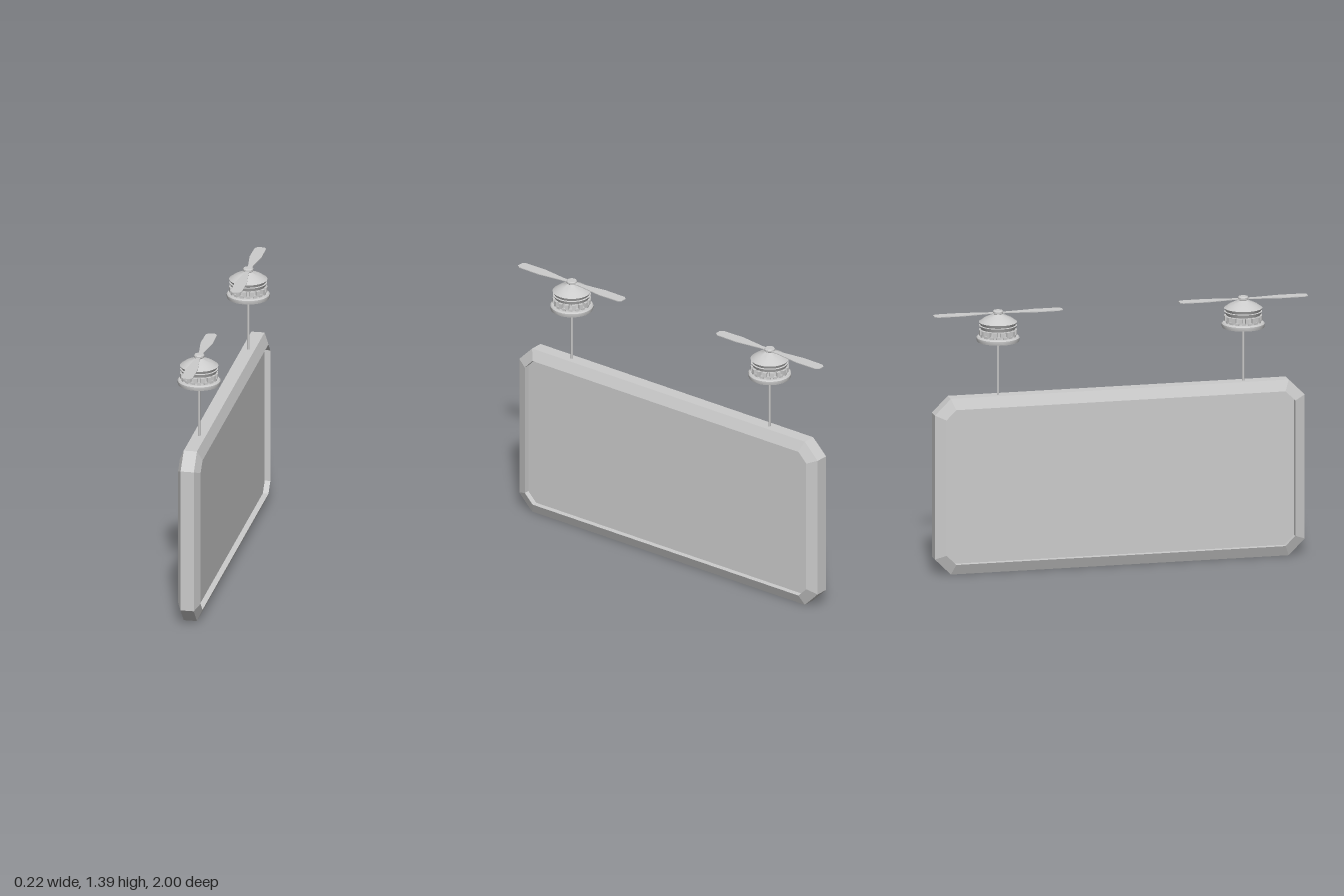
import * as THREE from 'three';
import { toCreasedNormals } from 'three/addons/utils/BufferGeometryUtils.js';

const grey = () => new THREE.MeshStandardMaterial({ color: 0xcccccc });

function add(parent, name, geometry, material = grey()) {
  const mesh = new THREE.Mesh(geometry, material);
  mesh.name = name;
  parent.add(mesh);
  return mesh;
}

// Rectangle with cut corners in the z-y plane, counter-clockwise seen from -x
function octagon(x, inset, cut) {
  const z0 = -1 + inset, z1 = 0.975 - inset, y0 = inset, y1 = 0.94 - inset;
  return [
    [z0 + cut, y0], [z1 - cut, y0], [z1, y0 + cut], [z1, y1 - cut],
    [z1 - cut, y1], [z0 + cut, y1], [z0, y1 - cut], [z0, y0 + cut],
  ].map(([z, y]) => [x, y, z]);
}

function facets(triangles) {
  const geo = new THREE.BufferGeometry();
  geo.setAttribute('position', new THREE.Float32BufferAttribute(triangles.flat(), 3));
  geo.computeVertexNormals();
  return geo;
}

// Bevelled frame around a recessed screen on both faces
function createPanel() {
  const panel = new THREE.Group();
  panel.name = 'panel';
  const inner = (x) => octagon(x, 0.056, 0.052);
  const outer = (x) => octagon(x, 0, 0.085);
  const loops = [inner(-0.03), inner(-0.06), outer(-0.035), outer(0.035), inner(0.06), inner(0.03)];
  const sides = [];
  for (let k = 0; k < loops.length - 1; k++) {
    for (let i = 0; i < 8; i++) {
      const j = (i + 1) % 8;
      const a = loops[k][i], b = loops[k][j], c = loops[k + 1][j], d = loops[k + 1][i];
      sides.push(a, d, c, a, c, b);
    }
  }
  add(panel, 'frame', facets(sides));

  const right = [], left = [];
  for (let i = 1; i < 7; i++) {
    right.push(loops[0][0], loops[0][i], loops[0][i + 1]);
    left.push(loops[5][0], loops[5][i + 1], loops[5][i]);
  }
  add(panel, 'rightScreen', facets(right));
  add(panel, 'leftScreen', facets(left));
  return panel;
}

// Two flat blades widening towards blunt pointed tips
function bladeGeometry() {
  const half = [[0.012, 0], [0.013, 0.06], [0.032, 0.2], [0.03, 0.325], [0.017, 0.343]];
  const mirror = half.slice(1).reverse().map(([x, z]) => [-x, z]);
  const arm = [...half, ...mirror];
  const points = [...arm, ...arm.map(([x, z]) => [-x, -z])];
  const shape = new THREE.Shape(points.map(([x, z]) => new THREE.Vector2(x, z)));
  return new THREE.ExtrudeGeometry(shape, { depth: 0.004, bevelEnabled: false })
    .rotateX(-Math.PI / 2);
}

// Rotor unit, measured from the bottom of its base disc
function createRotor() {
  const rotor = new THREE.Group();
  const lathe = (points) => toCreasedNormals(
    new THREE.LatheGeometry(points.map(([r, y]) => new THREE.Vector2(r, y)), 32), 0.5);

  add(rotor, 'base', lathe([
    [0, 0], [0.11, 0], [0.112, 0.006], [0.112, 0.02], [0.106, 0.026], [0.08, 0.026],
  ]));
  add(rotor, 'motorBody', lathe([
    [0.087, 0.024], [0.082, 0.066], [0.09, 0.066], [0.099, 0.084],
    [0.091, 0.086], [0.1, 0.102], [0.094, 0.106], [0.088, 0.11],
    [0.075, 0.12], [0.05, 0.132], [0.026, 0.143], [0.022, 0.147],
  ]));
  add(rotor, 'hub', lathe([
    [0.022, 0.143], [0.027, 0.148], [0.027, 0.158], [0.023, 0.163], [0, 0.163],
  ]));

  // Ring of blocks under the housing, with short feet in between
  const count = 16;
  for (let i = 0; i < count * 2; i++) {
    const tall = i % 2 === 0;
    const block = new THREE.BoxGeometry(0.02, tall ? 0.026 : 0.014, 0.018)
      .translate(0, tall ? 0.049 : 0.032, tall ? 0.09 : 0.086)
      .rotateY((i / count) * Math.PI);
    add(rotor, tall ? 'ventBlock' : 'ventFoot', block);
  }
  add(rotor, 'propeller', bladeGeometry()).position.y = 0.148;
  return rotor;
}

export function createModel() {
  const model = new THREE.Group();
  model.name = 'flyingScreen';
  model.add(createPanel());

  for (const side of [1, -1]) {
    const z = side * 0.655;
    const end = side > 0 ? 'front' : 'back';
    const rod = add(model, end + 'Rod', new THREE.CylinderGeometry(0.006, 0.006, 0.31, 10));
    rod.position.set(0, 1.08, z);
    const rotor = createRotor();
    rotor.name = end + 'Rotor';
    rotor.position.set(0, 1.228, z);
    model.add(rotor);
  }
  return model;
}
